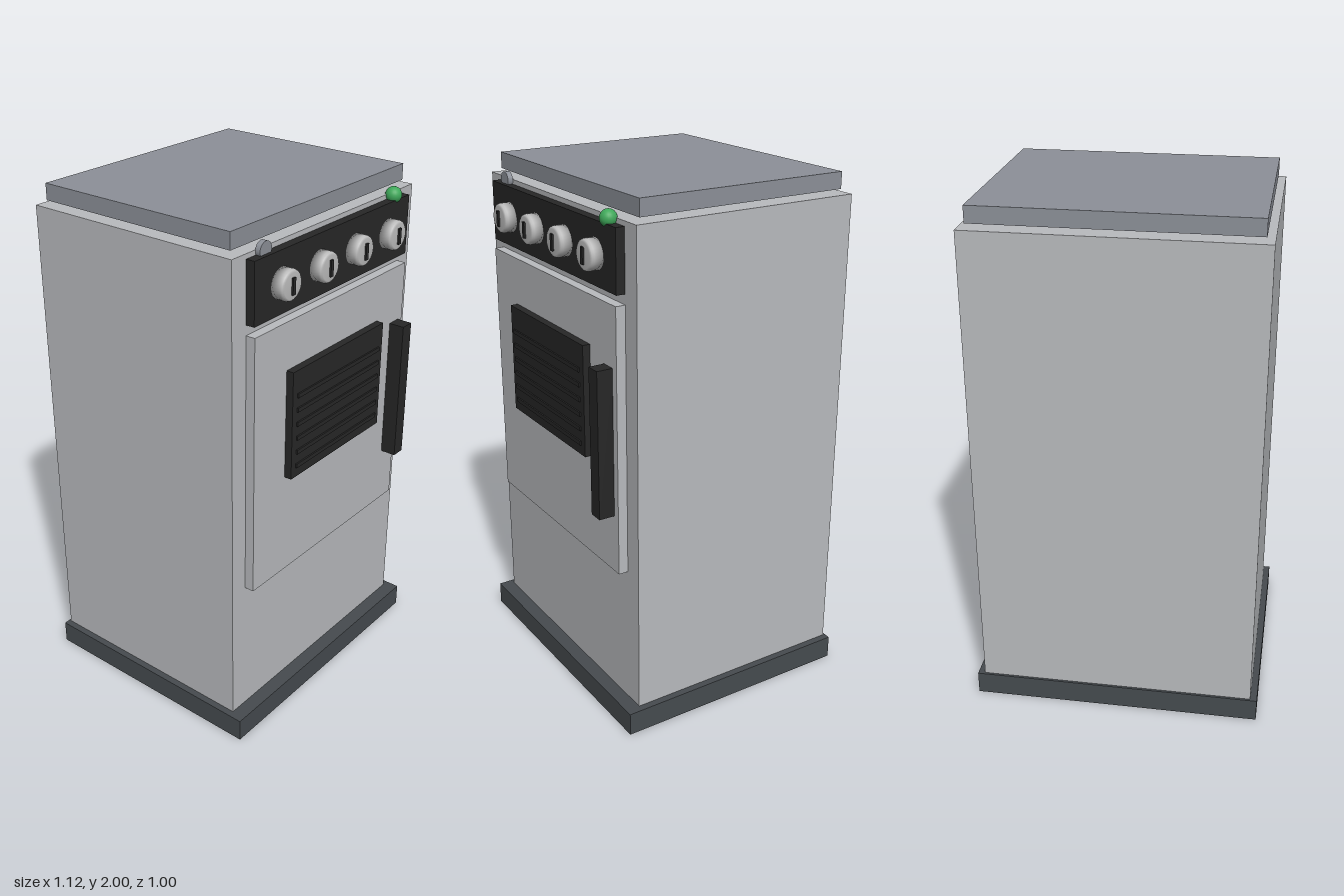
import * as THREE from 'three';

const mat = (name, color) => {
  const m = new THREE.MeshStandardMaterial({ color });
  m.name = name;
  return m;
};

export function createModel() {
  const group = new THREE.Group();
  const enamel = mat('light grey enamel', 0xb9bbbe);
  const steel = mat('blue grey steel', 0x8c9098);
  const plinthGrey = mat('dark slate', 0x464b4f);
  const black = mat('black', 0x272727);
  const knobGrey = mat('knob silver', 0xbcbcbc);
  const green = mat('green lamp', 0x3fa85a);

  const add = (name, geometry, material, x, y, z, parent = group) => {
    const mesh = new THREE.Mesh(geometry, material);
    mesh.name = name;
    mesh.position.set(x, y, z);
    parent.add(mesh);
    return mesh;
  };
  // Box given by its extents on each axis
  const box = (name, material, [x0, x1], [y0, y1], [z0, z1]) =>
    add(name, new THREE.BoxGeometry(x1 - x0, y1 - y0, z1 - z0), material,
      (x0 + x1) / 2, (y0 + y1) / 2, (z0 + z1) / 2);

  // Cabinet
  box('plinth', plinthGrey, [-0.56, 0.557], [0, 0.09], [-0.5, 0.46]);
  box('body', enamel, [-0.534, 0.53], [0.09, 1.922], [-0.491, 0.404]);
  box('lid', steel, [-0.506, 0.503], [1.938, 2], [-0.463, 0.376]);

  // Front panel, door, window and handle
  box('controlPanel', black, [-0.461, 0.457], [1.678, 1.904], [0.404, 0.438]);
  box('door', enamel, [-0.461, 0.457], [0.634, 1.641], [0.404, 0.441]);
  box('window', black, [-0.283, 0.278], [1.037, 1.46], [0.441, 0.47]);
  for (let i = 0; i < 6; i++) {
    const y = 1.363 - i * 0.056;
    box('windowSlat', black, [-0.257, 0.253], [y - 0.008, y + 0.008], [0.465, 0.476]);
  }
  box('handle', black, [0.374, 0.43], [0.859, 1.418], [0.441, 0.502]);

  // Rotary knobs with rounded rims and a dark pointer
  const profile = [[0, 0], [0.056, 0], [0.056, 0.034], [0.053, 0.042], [0.046, 0.047], [0, 0.047]]
    .map(([r, h]) => new THREE.Vector2(r, h));
  const knobGeometry = new THREE.LatheGeometry(profile, 32).rotateX(Math.PI / 2);
  for (let i = 0; i < 4; i++) {
    const knob = new THREE.Group();
    knob.name = 'knob';
    knob.position.set(-0.318 + i * 0.2137, 1.79, 0.438);
    add('knobCap', knobGeometry, knobGrey, 0, 0, 0, knob);
    add('knobPointer', new THREE.BoxGeometry(0.015, 0.06, 0.009), black, 0, 0, 0.049, knob);
    group.add(knob);
  }

  // Small button and indicator lamp above the panel
  add('button', new THREE.CylinderGeometry(0.031, 0.031, 0.02, 24).rotateX(Math.PI / 2),
    steel, -0.384, 1.917, 0.413);
  add('lamp', new THREE.SphereGeometry(0.031, 24, 16), green, 0.379, 1.918, 0.418);

  return group;
}
